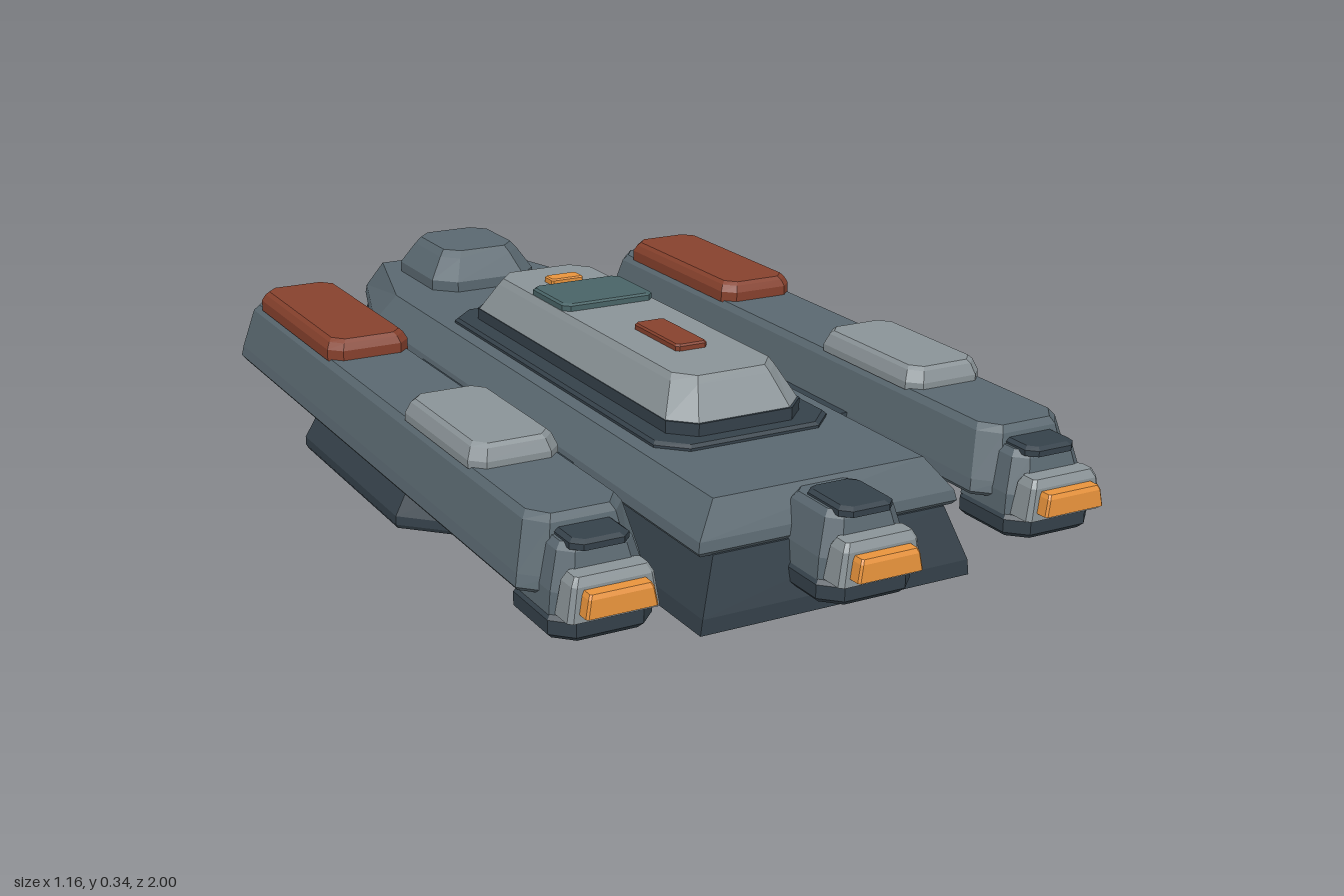
import * as THREE from 'three';

const material = (color) => new THREE.MeshStandardMaterial({ color, flatShading: true });
const MAT = {
  hull: material(0x5a6870), dark: material(0x35414a), light: material(0x8a9397),
  red: material(0x87412d), teal: material(0x496467), orange: material(0xe8933c),
};

// Rectangle with cut corners, counter-clockwise seen from above
const cutRect = (w, d, c) => [
  [w - c, d], [w, d - c], [w, c - d], [w - c, -d],
  [c - w, -d], [-w, c - d], [-w, d - c], [c - w, d],
];

// Stacks an outline at levels [y, insetX, insetZ], with flat caps
function stack(outline, levels) {
  const hx = Math.max(...outline.map((p) => p[0]));
  const hz = Math.max(...outline.map((p) => p[1]));
  const rings = levels.map(([y, ix = 0, iz = ix]) =>
    outline.map(([x, z]) => [x * (1 - ix / hx), y, z * (1 - iz / hz)]));
  const n = outline.length, pos = [];
  const tri = (a, b, c) => pos.push(...a, ...b, ...c);
  for (let r = 0; r < rings.length - 1; r++) {
    const lo = rings[r], hi = rings[r + 1];
    for (let i = 0; i < n; i++) {
      const j = (i + 1) % n;
      tri(lo[i], lo[j], hi[j]);
      tri(lo[i], hi[j], hi[i]);
    }
  }
  const bottom = rings[0], top = rings[rings.length - 1];
  for (let i = 1; i < n - 1; i++) {
    tri(bottom[0], bottom[i + 1], bottom[i]);
    tri(top[0], top[i], top[i + 1]);
  }
  const g = new THREE.BufferGeometry();
  g.setAttribute('position', new THREE.Float32BufferAttribute(pos, 3));
  g.computeVertexNormals();
  return g;
}

function addMesh(parent, name, mat, geometry, x = 0, z = 0) {
  const mesh = new THREE.Mesh(geometry, MAT[mat]);
  mesh.name = name;
  mesh.position.set(x, 0, z);
  parent.add(mesh);
}

// Cut-corner block given by half width, z range, corner cut and levels
function block(parent, name, mat, w, z0, z1, cut, levels, x = 0) {
  addMesh(parent, name, mat, stack(cutRect(w, (z1 - z0) / 2, cut), levels), x, (z0 + z1) / 2);
}

// Hull outline: square front, tapered stern
const hullOutline = (w, stern, d, shoulder) => [
  [w, d], [w, shoulder], [stern, -d], [-stern, -d], [-w, shoulder], [-w, d],
];

// Thruster with its nozzle facing +z; zf is the front of its body
function thruster(name, x, zf, back) {
  const g = new THREE.Group();
  g.name = name;
  block(g, 'thrusterBase', 'dark', 0.097, back, zf + 0.01, 0.035, [[0.05, 0.01], [0.06], [0.085], [0.097, 0.01]]);
  block(g, 'thrusterBody', 'hull', 0.092, back, zf, 0.03, [[0.09], [0.13, 0.004], [0.195, 0.022], [0.207, 0.032]]);
  block(g, 'thrusterCap', 'dark', 0.055, zf - 0.14, zf - 0.01, 0.018, [[0.2], [0.211], [0.217, 0.008]]);
  block(g, 'nozzleFrame', 'light', 0.085, zf - 0.03, zf + 0.03, 0.008, [[0.095], [0.155, 0.01, 0.004], [0.17, 0.018, 0.012]]);
  block(g, 'nozzleGlow', 'orange', 0.066, zf, zf + 0.055, 0.004, [[0.11], [0.142, 0.006, 0.002], [0.15, 0.01, 0.006]]);
  g.position.x = x;
  return g;
}

export function createModel() {
  const model = new THREE.Group();
  model.name = 'ship';

  // Keel and upper hull
  addMesh(model, 'keel', 'dark',
    stack(hullOutline(0.28, 0.18, 0.925, -0.59), [[0], [0.03, 0.004, 0], [0.13, 0.04, 0.03]]), 0, -0.075);
  addMesh(model, 'upperHull', 'hull',
    stack(hullOutline(0.268, 0.17, 0.893, -0.595), [[0.128, 0.006], [0.136], [0.155, 0.004], [0.215, 0.05, 0.04]]), 0, -0.073);

  // Cross wing that carries both side pods
  block(model, 'crossWing', 'dark', 0.58, -0.39, 0.365, 0.13, [[0.03, 0.004], [0.038], [0.055], [0.145, 0.05, 0.015]]);

  // Central superstructure
  block(model, 'deckPlate', 'dark', 0.187, -0.43, 0.565, 0.05, [[0.21], [0.22], [0.226, 0.006]]);
  block(model, 'cabinBase', 'dark', 0.145, -0.395, 0.53, 0.045, [[0.22], [0.25]]);
  block(model, 'cabin', 'light', 0.143, -0.39, 0.525, 0.045, [[0.25], [0.31, 0.03, 0.04], [0.323, 0.038, 0.05]]);
  block(model, 'roofHatch', 'teal', 0.104, -0.17, -0.007, 0.014, [[0.315], [0.334], [0.338, 0.005]]);
  block(model, 'roofLamp', 'orange', 0.037, -0.24, -0.2, 0.004, [[0.315], [0.333], [0.336, 0.003]]);
  block(model, 'roofStripe', 'red', 0.034, 0.155, 0.33, 0.006, [[0.315], [0.332], [0.336, 0.003]]);

  // Stern dome
  block(model, 'sternDome', 'hull', 0.127, -0.88, -0.6, 0.045, [[0.21], [0.238], [0.285, 0.03], [0.3, 0.042]]);

  // Side pods with top panels and thrusters
  for (const s of [1, -1]) {
    const pod = new THREE.Group();
    pod.name = s > 0 ? 'leftPod' : 'rightPod';
    const x = s * 0.462;
    block(pod, 'podBody', 'hull', 0.118, -0.71, 0.8, 0.04, [[0.11, 0.006], [0.118], [0.14, 0.004], [0.225, 0.026], [0.238, 0.036]], x);
    block(pod, 'rearPanel', 'red', 0.087, -0.625, -0.165, 0.025, [[0.235], [0.258], [0.272, 0.007], [0.279, 0.014]], x);
    block(pod, 'frontPanel', 'light', 0.087, 0.195, 0.53, 0.025, [[0.235], [0.25], [0.272, 0.009], [0.279, 0.016]], x);
    pod.add(thruster('podThruster', x, 0.86, 0.67));
    model.add(pod);
  }
  model.add(thruster('centreThruster', 0, 0.945, 0.75));

  return model;
}
